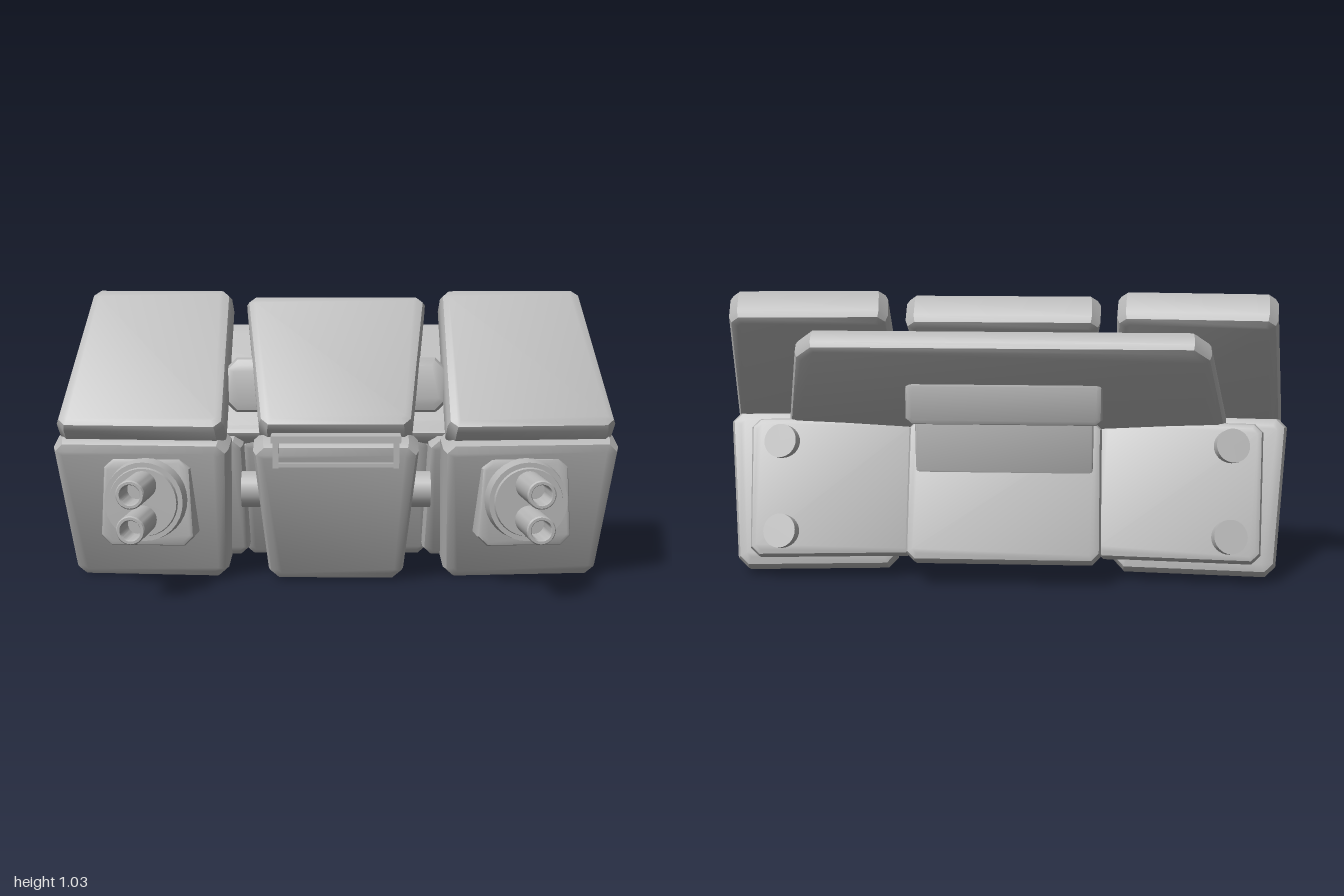
import * as THREE from 'three';
import { toCreasedNormals } from 'three/addons/utils/BufferGeometryUtils.js';

const LOWER_TILT = 0.36;
const UPPER_TILT = -Math.PI / 4;

export function createModel() {
  const root = new THREE.Group();
  root.name = 'armouredTurretPanel';
  const grey = new THREE.MeshStandardMaterial({ color: 0xb8b8b8 });
  grey.name = 'plain grey';

  function add(parent, name, geometry, x, y, z, tilt = 0) {
    const mesh = new THREE.Mesh(geometry, grey);
    mesh.name = name;
    mesh.position.set(x, y, z);
    mesh.rotation.x = tilt;
    parent.add(mesh);
    return mesh;
  }

  // Chamfered trapezoid plate, centred on its own origin
  function plate(topHalf, bottomHalf, height, thick, bevel = 0.03, corner = 0.03) {
    const h = height / 2, c = corner;
    const shape = new THREE.Shape([
      [-bottomHalf + c, -h], [bottomHalf - c, -h], [bottomHalf, -h + c],
      [topHalf, h - c], [topHalf - c, h], [-topHalf + c, h],
      [-topHalf, h - c], [-bottomHalf, -h + c],
    ].map(([x, y]) => new THREE.Vector2(x, y)));
    const g = new THREE.ExtrudeGeometry(shape, {
      depth: thick - 2 * bevel, bevelThickness: bevel, bevelSize: bevel,
      bevelOffset: -bevel, bevelSegments: 2,
    });
    g.translate(0, 0, -thick / 2 + bevel);
    return toCreasedNormals(g, 0.45);
  }

  // Cylinder along z
  function disc(radius, frontRadius, length) {
    const g = new THREE.CylinderGeometry(frontRadius, radius, length, 32);
    return g.rotateX(Math.PI / 2);
  }

  // Hollow barrel along z
  function barrel() {
    const profile = [
      [0.05, 0], [0.05, 0.23], [0.046, 0.236], [0.037, 0.236], [0.034, 0.23], [0.034, 0.12], [0, 0.12],
    ].map(([r, y]) => new THREE.Vector2(r, y));
    const g = new THREE.LatheGeometry(profile, 28).rotateX(Math.PI / 2);
    return toCreasedNormals(g, 0.5);
  }

  // Central panels
  add(root, 'centreUpperPanel', plate(0.33, 0.27, 0.61, 0.13), 0, 0.775, -0.065, UPPER_TILT);
  add(root, 'centreLowerPanel', plate(0.29, 0.245, 0.56, 0.15, 0.035, 0.035), 0, 0.295, 0.045, LOWER_TILT);

  // Viewing slot frame at the top of the lower panel
  const slot = new THREE.Group();
  slot.name = 'slotFrame';
  root.add(slot);
  add(slot, 'slotLip', new THREE.BoxGeometry(0.45, 0.025, 0.11), 0, 0.56, 0.19);
  add(slot, 'slotSill', new THREE.BoxGeometry(0.42, 0.015, 0.08), 0, 0.465, 0.17);
  for (const s of [-1, 1]) {
    add(slot, 'slotSide', new THREE.BoxGeometry(0.02, 0.1, 0.08), s * 0.21, 0.505, 0.17);
  }

  // Rear structure
  add(root, 'upperBackSlab', plate(0.7, 0.78, 0.53, 0.085, 0.025, 0.06), 0, 0.71, -0.19, UPPER_TILT);
  add(root, 'lowerBackSlab', plate(0.34, 0.34, 0.5, 0.15, 0.025, 0.03), 0, 0.32, -0.16, LOWER_TILT);
  add(root, 'rearHood', plate(0.34, 0.34, 0.16, 0.2, 0.02, 0.02), 0, 0.665, -0.16, -0.1);
  add(root, 'rearHoodBase', plate(0.31, 0.31, 0.2, 0.14, 0.01, 0.01), 0, 0.5, -0.147, -0.08);

  // Connectors between the centre and the wings
  add(root, 'upperConnector', plate(0.4, 0.4, 0.2, 0.14, 0.03, 0.04), 0, 0.71, -0.1, -0.15);
  const axle = new THREE.CylinderGeometry(0.065, 0.065, 0.68, 24).rotateZ(Math.PI / 2);
  add(root, 'lowerConnector', axle, 0, 0.345, 0.0);

  // Mirrored wings, each angled outward
  for (const s of [-1, 1]) {
    const wing = new THREE.Group();
    wing.name = s > 0 ? 'leftWing' : 'rightWing';
    wing.position.x = s * 0.685;
    wing.rotation.y = s * 0.09;
    root.add(wing);

    add(wing, 'wingUpperPanel', plate(0.265, 0.3, 0.655, 0.13), -s * 0.005, 0.78, -0.12, UPPER_TILT);
    add(wing, 'wingLowerPanel', plate(0.315, 0.285, 0.565, 0.15, 0.035, 0.035), 0, 0.29, -0.035, LOWER_TILT);

    // Back slab with half-sunk bolts
    const back = add(wing, 'wingBackSlab', plate(0.29, 0.29, 0.49, 0.12, 0.02, 0.03), -s * 0.06, 0.32, -0.125, LOWER_TILT);
    for (const y of [-0.16, 0.16]) {
      const bolt = add(back, 'bolt', disc(0.06, 0.06, 0.05), s * 0.18, y, -0.055);
      bolt.rotation.y = -s * 0.3;
    }

    // Twin gun on its mount
    const gun = new THREE.Group();
    gun.name = 'twinGun';
    gun.position.set(-s * 0.025, 0.33, 0);
    wing.add(gun);
    add(gun, 'gunMount', plate(0.155, 0.168, 0.315, 0.18, 0.015, 0.035), 0, -0.012, 0.03);
    add(gun, 'gunRing', disc(0.147, 0.14, 0.06), 0, 0, 0.145);
    add(gun, 'gunHub', disc(0.125, 0.12, 0.02), 0, 0, 0.178);
    for (const y of [-0.06, 0.062]) {
      add(gun, 'barrel', barrel(), 0, y, 0.15);
    }
  }
  return root;
}
